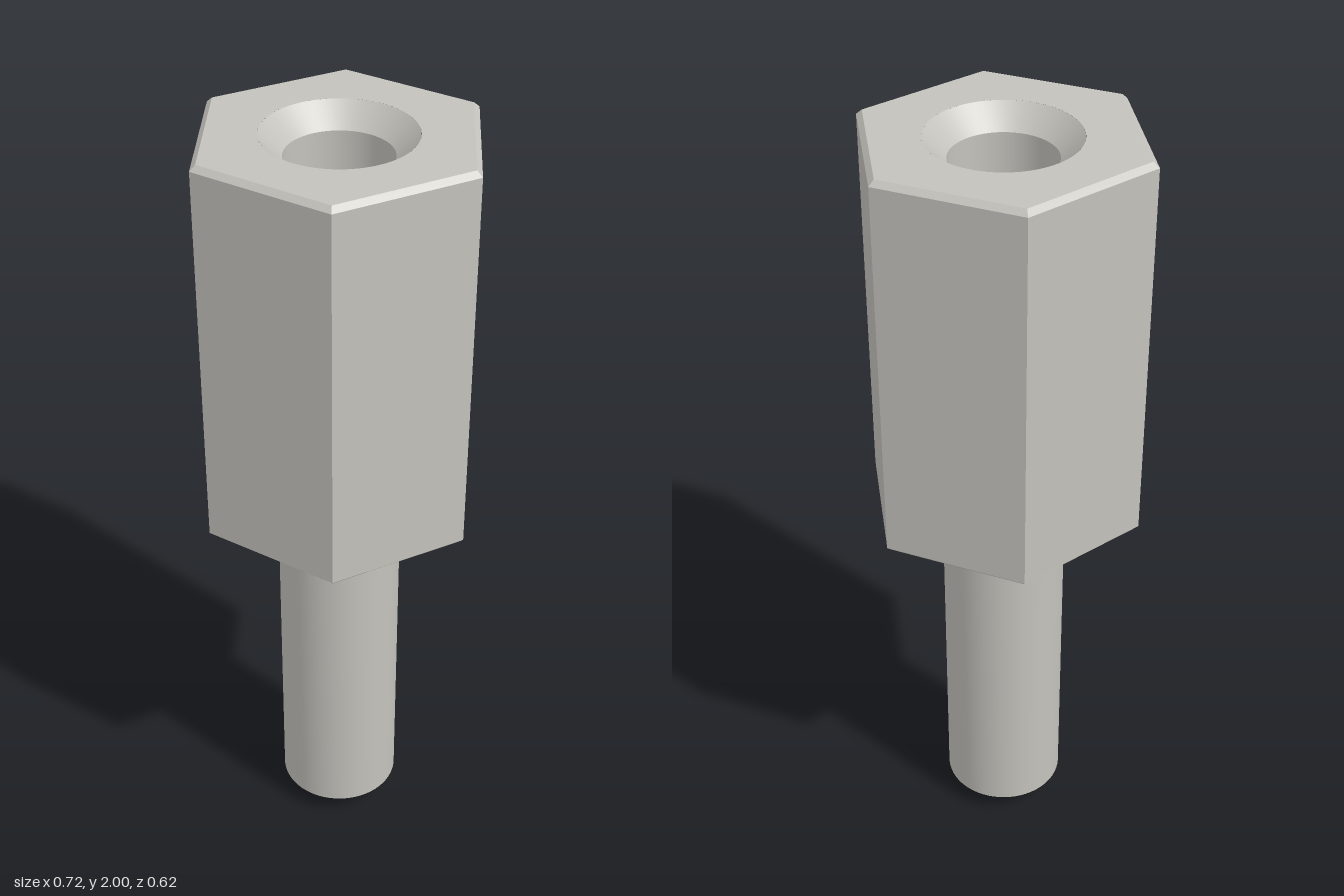
import * as THREE from 'three';
import { toCreasedNormals } from 'three/addons/utils/BufferGeometryUtils.js';

const SEGMENTS = 64;
const HEX_R = 0.36;      // across corners / 2
const HEX_INNER = 0.345; // corner radius inside the chamfer
const SINK_R = 0.181;    // countersink rim
const BORE_R = 0.127;

// Revolve [radius, y] points; rising profiles face outward, falling ones inward.
function turned(points, segments = SEGMENTS, start = 0) {
  const profile = points.map(([r, y]) => new THREE.Vector2(r, y));
  return toCreasedNormals(new THREE.LatheGeometry(profile, segments, start), 0.4);
}

export function createModel() {
  const metal = new THREE.MeshStandardMaterial({ color: 0xc4c2bc });
  metal.name = 'satin metal';

  const group = new THREE.Group();
  group.name = 'hexStandoff';
  const add = (name, geometry) => {
    const mesh = new THREE.Mesh(geometry, metal);
    mesh.name = name;
    group.add(mesh);
    return mesh;
  };

  // Male stud with chamfered tip
  add('stud', turned([[0, 0], [0.096, 0], [0.156, 0.06], [0.156, 1.002]]));

  // Hexagonal body, chamfered at both ends, corners on the x axis
  add('hexBody', turned(
    [[0, 1], [HEX_INNER, 1], [HEX_R, 1.013], [HEX_R, 1.987], [HEX_INNER, 2]],
    6, Math.PI / 6));

  // Flat top face with a round opening
  const face = new THREE.Shape();
  for (let i = 0; i < 6; i++) {
    const a = i * Math.PI / 3;
    face[i ? 'lineTo' : 'moveTo'](HEX_INNER * Math.cos(a), HEX_INNER * Math.sin(a));
  }
  face.closePath();
  face.holes.push(new THREE.Path().absarc(0, 0, SINK_R, 0, Math.PI * 2, true));
  const top = add('topFace', new THREE.ShapeGeometry(face, SEGMENTS));
  top.rotation.x = -Math.PI / 2;
  top.position.y = 2;

  // Countersunk blind bore
  add('bore', turned([[SINK_R, 2], [BORE_R, 1.946], [BORE_R, 1.25], [0, 1.25]]));

  return group;
}
